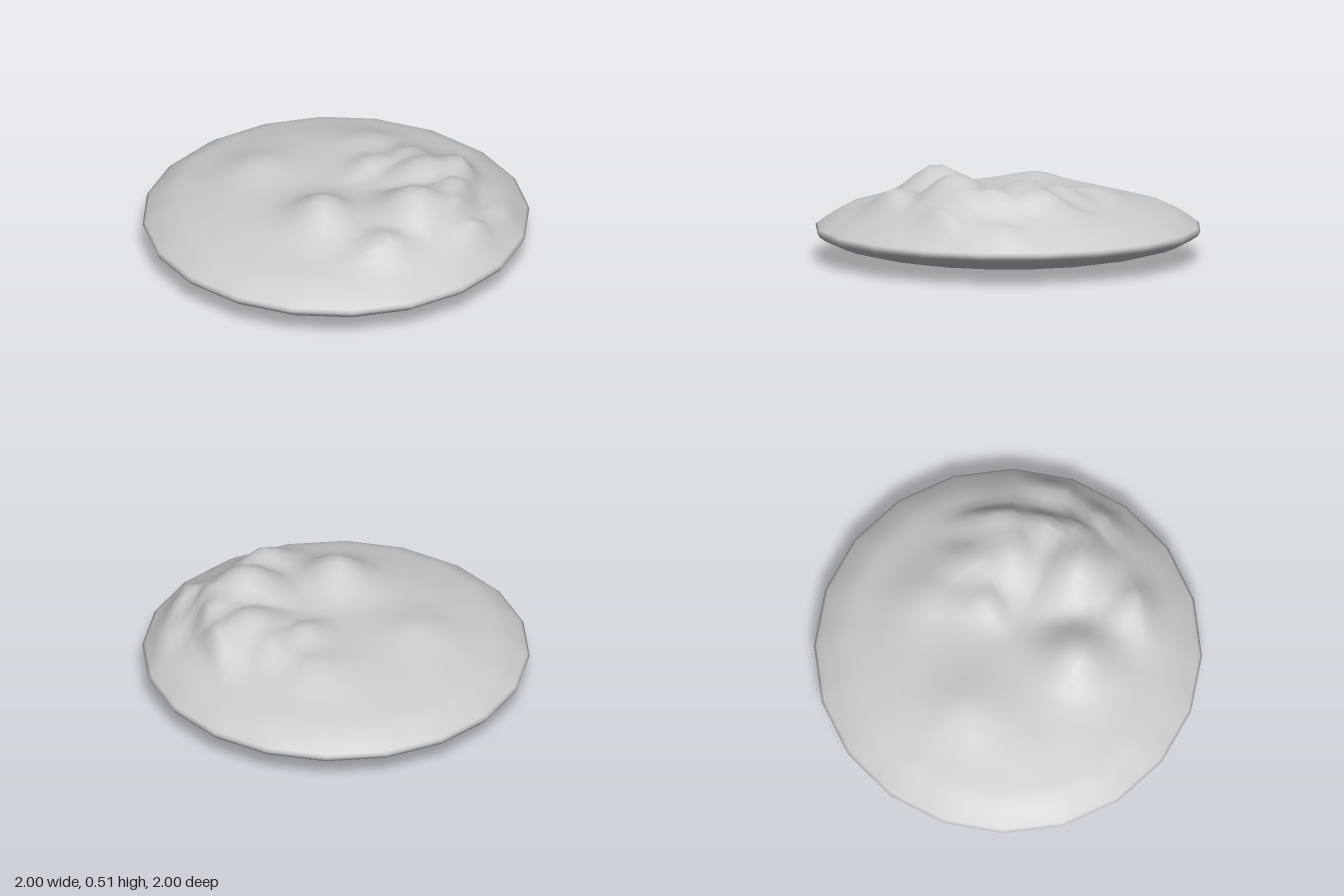
import * as THREE from 'three';

const SIDES = 20, SEGMENTS = 60, RIM_Y = 0.16;

// Smooth dome profile: radius, height
const DOME = [[0, 0.36], [0.3, 0.36], [0.45, 0.35], [0.62, 0.32], [0.75, 0.285], [0.86, 0.255], [0.95, 0.2], [1, RIM_Y]];

// Peaks: x, z, height, width, width on the outward side
const PEAKS = [
  [-0.1, 0.36, 0.485, 0.17, 0.17],
  [0.4, 0.36, 0.51, 0.2, 0.22],
  [0.48, 0.0, 0.475, 0.2, 0.25],
  [0.66, -0.05, 0.45, 0.18, 0.07],
  [0.62, 0.2, 0.455, 0.2, 0.07],
  [0.58, 0.34, 0.45, 0.16, 0.1],
  [0.42, -0.18, 0.44, 0.16, 0.12],
  [0.2, -0.13, 0.43, 0.12, 0.12],
  [0.23, -0.42, 0.39, 0.16, 0.14],
  [-0.4, -0.22, 0.39, 0.17, 0.14],
  [0.22, 0.66, 0.405, 0.17, 0.09],
  [0.68, 0.47, 0.37, 0.13, 0.06],
  [0.87, 0.22, 0.28, 0.16, 0.05],
];

function domeHeight(r) {
  for (let i = 1; i < DOME.length; i++) {
    const [r0, y0] = DOME[i - 1], [r1, y1] = DOME[i];
    if (r <= r1) return y0 + (y1 - y0) * (r - r0) / (r1 - r0);
  }
  return RIM_Y;
}

function topHeight(x, z, r) {
  let rise = 0;
  for (const [px, pz, h, wIn, wOut] of PEAKS) {
    const pr = Math.hypot(px, pz);
    // Split the offset into radial and tangential parts for steep outer faces
    const radial = ((x - px) * px + (z - pz) * pz) / pr;
    const tangent = ((x - px) * pz - (z - pz) * px) / pr;
    const w = radial > 0 ? wOut : wIn;
    const fall = Math.exp(-((radial / w) ** 2) - (tangent / wIn) ** 2);
    rise = Math.max(rise, (h - domeHeight(pr)) * fall);
  }
  const fade = Math.min(1, (1 - r) / 0.06);
  return domeHeight(r) + rise * fade;
}

// Flat-sided outline: distance factor for a regular polygon with a corner at angle 0
function polygonFactor(a) {
  const step = 2 * Math.PI / SIDES;
  const local = ((a % step) + step) % step - step / 2;
  return Math.cos(step / 2) / Math.cos(local);
}

function islandGeometry() {
  const rings = [];
  for (let i = 1; i <= 10; i++) rings.push({ r: Math.sin(i * Math.PI / 20), top: false });
  for (const r of [0.985, 0.95, 0.91, 0.87, 0.82, 0.77, 0.73, 0.7, 0.66, 0.61, 0.55, 0.48, 0.41, 0.34, 0.27, 0.2, 0.13, 0.06])
    rings.push({ r, top: true });

  const positions = [0, 0, 0], index = [];
  for (const { r, top } of rings) {
    for (let j = 0; j < SEGMENTS; j++) {
      const a = j / SEGMENTS * 2 * Math.PI, k = r * polygonFactor(a);
      const x = k * Math.cos(a), z = k * Math.sin(a);
      const y = top ? topHeight(x, z, r) : RIM_Y * (1 - Math.sqrt(Math.max(0, 1 - r * r)));
      positions.push(x, y, z);
    }
  }
  const apex = positions.length / 3;
  positions.push(0, topHeight(0, 0, 0), 0);

  // Join the rings, then close both poles
  const at = (ring, j) => 1 + ring * SEGMENTS + j % SEGMENTS;
  const last = rings.length - 1;
  for (let j = 0; j < SEGMENTS; j++) {
    index.push(0, at(0, j), at(0, j + 1));
    for (let i = 0; i < last; i++) {
      index.push(at(i, j), at(i + 1, j), at(i + 1, j + 1));
      index.push(at(i, j), at(i + 1, j + 1), at(i, j + 1));
    }
    index.push(at(last, j), apex, at(last, j + 1));
  }
  const geometry = new THREE.BufferGeometry();
  geometry.setAttribute('position', new THREE.Float32BufferAttribute(positions, 3));
  geometry.setIndex(index);
  geometry.computeVertexNormals();
  return geometry;
}

export function createModel() {
  const group = new THREE.Group();
  group.name = 'ruggedMound';
  const mound = new THREE.Mesh(islandGeometry(), new THREE.MeshStandardMaterial({ color: 0xcccccc }));
  mound.name = 'mound';
  group.add(mound);
  return group;
}
